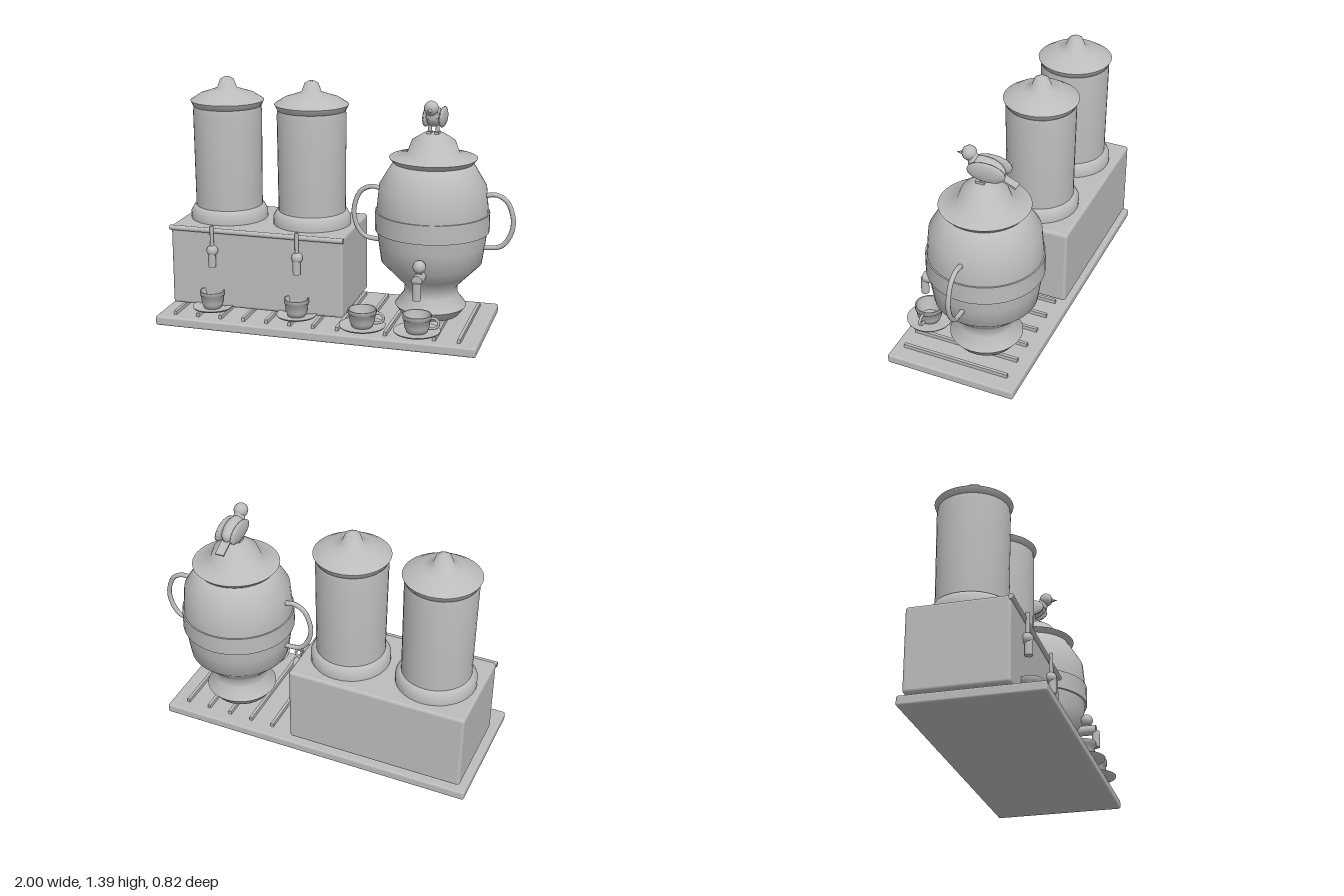
import * as THREE from 'three';
import { toCreasedNormals } from 'three/addons/utils/BufferGeometryUtils.js';
import { RoundedBoxGeometry } from 'three/addons/geometries/RoundedBoxGeometry.js';

const metal = new THREE.MeshStandardMaterial({ color: 0xbcbcbc });
metal.name = 'grey metal';

function part(parent, name, geometry, x = 0, y = 0, z = 0) {
  const mesh = new THREE.Mesh(geometry, metal);
  mesh.name = name;
  mesh.position.set(x, y, z);
  parent.add(mesh);
  return mesh;
}

function group(parent, name, x = 0, y = 0, z = 0) {
  const g = new THREE.Group();
  g.name = name;
  g.position.set(x, y, z);
  parent.add(g);
  return g;
}

// Profile of [radius, height] pairs, bottom to top
function lathe(profile, sides = 36) {
  const points = profile.map(([r, y]) => new THREE.Vector2(r, y));
  return toCreasedNormals(new THREE.LatheGeometry(points, sides), 1.15);
}

function tube(points, radius, segments = 28) {
  const path = new THREE.CatmullRomCurve3(points.map((p) => new THREE.Vector3(...p)));
  return new THREE.TubeGeometry(path, segments, radius, 8);
}

const cylinder = (r, h, r2 = r) => new THREE.CylinderGeometry(r, r2, h, 16);

function addTank(parent, x) {
  const tank = group(parent, 'tank', x, 0, -0.1);
  part(tank, 'tankBase', lathe([[0, 0.54], [0.227, 0.555], [0.227, 0.595], [0.207, 0.63], [0.19, 0.635]]));
  part(tank, 'tankBody', lathe([[0.196, 0.62], [0.196, 0.7], [0.2, 1.19], [0.195, 1.225], [0, 1.23]]));
  part(tank, 'tankLid', lathe([
    [0, 1.22], [0.198, 1.222], [0.214, 1.255], [0.16, 1.29], [0.105, 1.308], [0.058, 1.325],
    [0.04, 1.375], [0.018, 1.388], [0, 1.389],
  ]));
}

function addCup(parent, x, z, size, turn) {
  const set = group(parent, 'cupAndSaucer', x, 0.077, z);
  set.scale.set(size, 1, size);
  set.rotation.y = turn;
  part(set, 'saucer', lathe([[0, 0], [0.08, 0], [0.128, 0.012], [0.131, 0.019], [0.126, 0.019], [0.08, 0.009], [0, 0.009]], 32));
  part(set, 'cup', lathe([
    [0, 0.009], [0.058, 0.011], [0.07, 0.04], [0.075, 0.085], [0.081, 0.088], [0.081, 0.112],
    [0.074, 0.112], [0.068, 0.08], [0.052, 0.028], [0, 0.025],
  ], 32));
  part(set, 'cupHandle', tube([
    [0.068, 0.09, 0], [0.1, 0.095, 0], [0.122, 0.073, 0], [0.112, 0.045, 0], [0.062, 0.033, 0],
  ], 0.008, 16));
}

function addBoilerTap(parent, x) {
  const tap = group(parent, 'boilerTap', x, 0, 0.205);
  part(tap, 'tapLever', cylinder(0.011, 0.14), 0, 0.502, -0.005);
  part(tap, 'tapBall', new THREE.SphereGeometry(0.033, 16, 10), 0, 0.425, -0.008);
  part(tap, 'tapSpout', cylinder(0.022, 0.08), 0, 0.37, 0);
}

function addUrn(parent) {
  const urn = group(parent, 'urn', 0.526, 0, -0.083);
  part(urn, 'urnBody', lathe([
    [0, 0.075], [0.165, 0.077], [0.205, 0.13], [0.154, 0.2], [0.151, 0.25], [0.21, 0.312],
    [0.287, 0.39], [0.303, 0.5], [0.313, 0.575], [0.317, 0.685], [0.303, 0.835], [0.225, 0.965], [0, 0.967],
  ], 40));
  part(urn, 'urnBand', lathe([[0.3, 0.575], [0.325, 0.575], [0.325, 0.685], [0.3, 0.685]], 40));
  part(urn, 'urnLid', lathe([
    [0, 0.96], [0.222, 0.962], [0.249, 0.993], [0.148, 1.02], [0.122, 1.09], [0.06, 1.13], [0, 1.135],
  ], 40));
  for (const side of [-1, 1]) {
    part(urn, side > 0 ? 'leftHandle' : 'rightHandle', tube([
      [0.28, 0.788, 0], [0.36, 0.8, 0], [0.42, 0.768, 0], [0.452, 0.7, 0], [0.46, 0.63, 0],
      [0.435, 0.55, 0], [0.39, 0.502, 0], [0.28, 0.488, 0],
    ].map(([x, y, z]) => [side * x, y, z]), 0.014));
  }
  // Tap on the front of the urn
  const tap = group(urn, 'urnTap', 0, 0, 0.083);
  part(tap, 'tapPipe', cylinder(0.03, 0.14), 0, 0.385, 0.23).rotation.x = Math.PI / 2;
  part(tap, 'tapSpout', cylinder(0.023, 0.1), 0, 0.325, 0.297);
  part(tap, 'tapStem', cylinder(0.018, 0.05), 0, 0.42, 0.246);
  part(tap, 'tapKnob', new THREE.SphereGeometry(0.037, 14, 8), 0, 0.45, 0.244);
}

function addBird(parent) {
  const bird = group(parent, 'bird', 0.526, 0, 0);
  const body = part(bird, 'birdBody', new THREE.SphereGeometry(1, 14, 10), 0, 1.222, -0.1);
  body.scale.set(0.048, 0.058, 0.105);
  body.rotation.x = -0.15;
  part(bird, 'birdNeck', cylinder(0.026, 0.06, 0.038), 0, 1.262, -0.02).rotation.x = 0.4;
  part(bird, 'birdHead', new THREE.SphereGeometry(0.041, 14, 10), 0, 1.287, 0.001);
  part(bird, 'birdBeak', new THREE.ConeGeometry(0.015, 0.045, 8), 0, 1.277, 0.052).rotation.x = Math.PI / 2 + 0.1;
  part(bird, 'birdTail', new THREE.BoxGeometry(0.052, 0.01, 0.13), 0, 1.175, -0.21).rotation.x = -0.42;
  for (const side of [-1, 1]) {
    const wing = part(bird, 'birdWing', new THREE.SphereGeometry(1, 10, 8), side * 0.046, 1.22, -0.112);
    wing.scale.set(0.018, 0.057, 0.114);
    part(bird, 'birdLeg', cylinder(0.011, 0.06), side * 0.022, 1.15, -0.075);
    part(bird, 'birdFoot', new THREE.BoxGeometry(0.024, 0.014, 0.05), side * 0.022, 1.138, -0.07);
  }
}

export function createModel() {
  const model = new THREE.Group();
  model.name = 'drinkStation';

  // Tray with raised slats
  part(model, 'tray', new RoundedBoxGeometry(1.87, 0.055, 0.76, 3, 0.012), -0.063, 0.0275, -0.011);
  for (let i = 0; i < 13; i++) {
    part(model, 'traySlat', new THREE.BoxGeometry(0.018, 0.03, 0.63), -0.897 + i * 0.1388, 0.062, -0.003);
  }

  // Boiler box with front rail
  part(model, 'boilerBox', new RoundedBoxGeometry(1.035, 0.475, 0.555, 3, 0.018), -0.445, 0.317, -0.097);
  part(model, 'boilerRail', cylinder(0.015, 1.045), -0.445, 0.54, 0.182).rotation.z = Math.PI / 2;

  for (const x of [-0.703, -0.191]) {
    addTank(model, x);
    addBoilerTap(model, x);
    addCup(model, x, 0.214, 0.88, Math.PI / 2);
  }
  addUrn(model);
  addBird(model);
  for (const x of [0.214, 0.526]) addCup(model, x, 0.277, 1, 0);

  return model;
}
